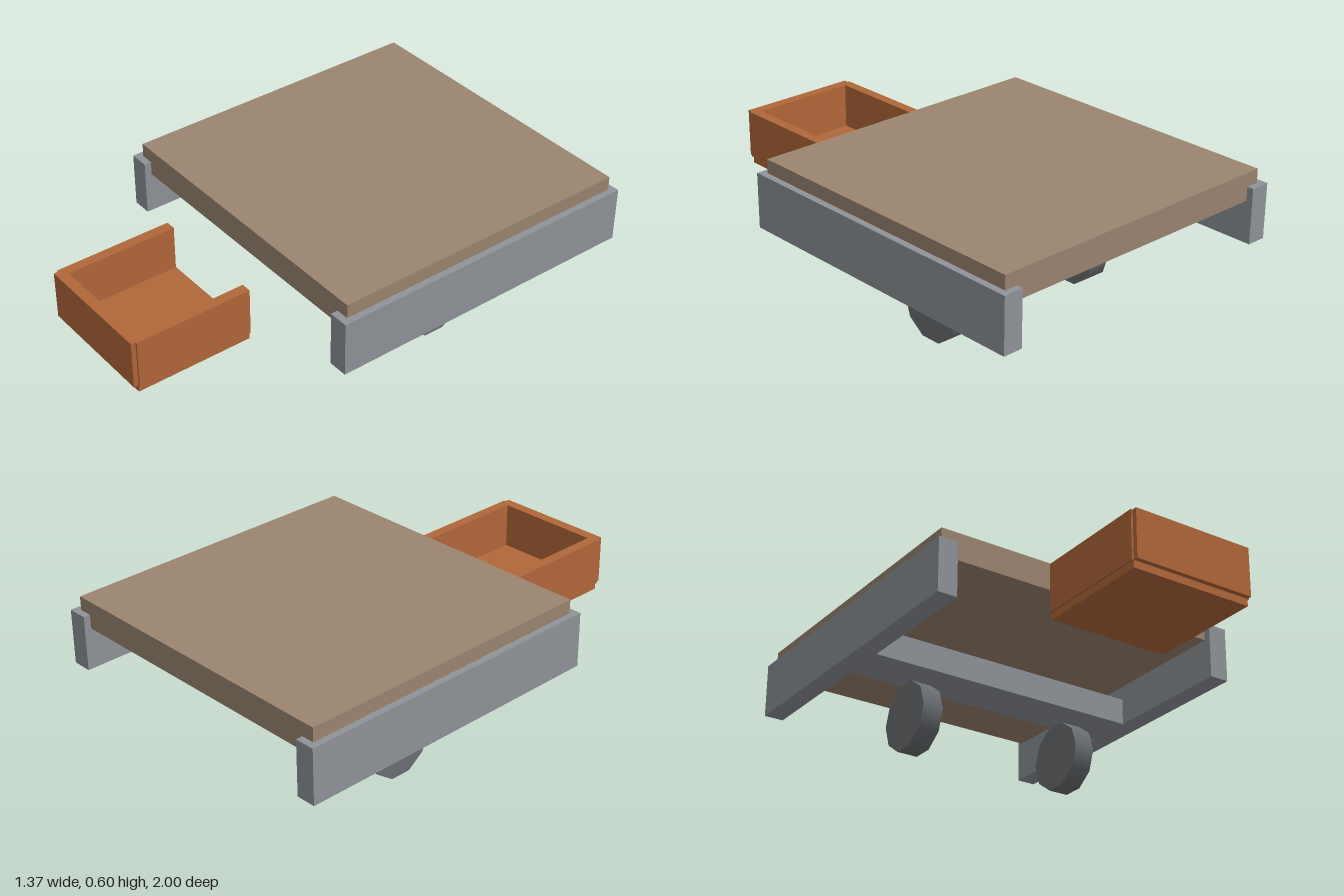
import * as THREE from 'three';

const mat = (name, color) => {
  const m = new THREE.MeshStandardMaterial({ color });
  m.name = name;
  return m;
};

export function createModel() {
  const wood = mat('brown wood', 0x9b8470);
  const steel = mat('grey steel', 0x8f9499);
  const rubber = mat('dark grey wheel', 0x6a6e72);
  const rust = mat('orange tray', 0xb2673a);

  // Box given by its extents on each axis
  const box = (parent, name, material, [x0, x1], [y0, y1], [z0, z1]) => {
    const mesh = new THREE.Mesh(new THREE.BoxGeometry(x1 - x0, y1 - y0, z1 - z0), material);
    mesh.position.set((x0 + x1) / 2, (y0 + y1) / 2, (z0 + z1) / 2);
    mesh.name = name;
    parent.add(mesh);
  };
  const sides = [['left', 1], ['right', -1]];
  const span = (s, a, b) => (s > 0 ? [a, b] : [-b, -a]);

  const model = new THREE.Group();
  model.name = 'flatbedCart';

  // Deck and the beam joining the two rails
  box(model, 'deck', wood, [-0.655, 0.655], [0.489, 0.605], [-0.972, 0.337]);
  box(model, 'crossBeam', steel, [-0.6, 0.6], [0.317, 0.43], [-0.42, -0.215]);

  // Ten-sided wheels, smooth around the rim, with a corner pointing forward
  const wheelGeometry = new THREE.CylinderGeometry(0.145, 0.145, 0.088, 10).rotateZ(Math.PI / 2);

  // Open-backed tray in front of the deck
  const tray = new THREE.Group();
  tray.name = 'tray';
  model.add(tray);
  box(tray, 'trayFloor', rust, [-0.26, 0.26], [0.272, 0.315], [0.485, 0.98]);
  box(tray, 'trayFront', rust, [-0.26, 0.26], [0.302, 0.504], [0.955, 1]);

  for (const [side, s] of sides) {
    box(model, side + 'Rail', steel, span(s, 0.6, 0.683), [0.317, 0.547], [-1, 0.367]);
    box(tray, side + 'TrayWall', rust, span(s, 0.225, 0.268), [0.302, 0.504], [0.485, 0.98]);
    const wheel = new THREE.Mesh(wheelGeometry, rubber);
    wheel.position.set(s * 0.364, 0.138, -0.315);
    wheel.name = side + 'Wheel';
    model.add(wheel);
  }
  return model;
}
